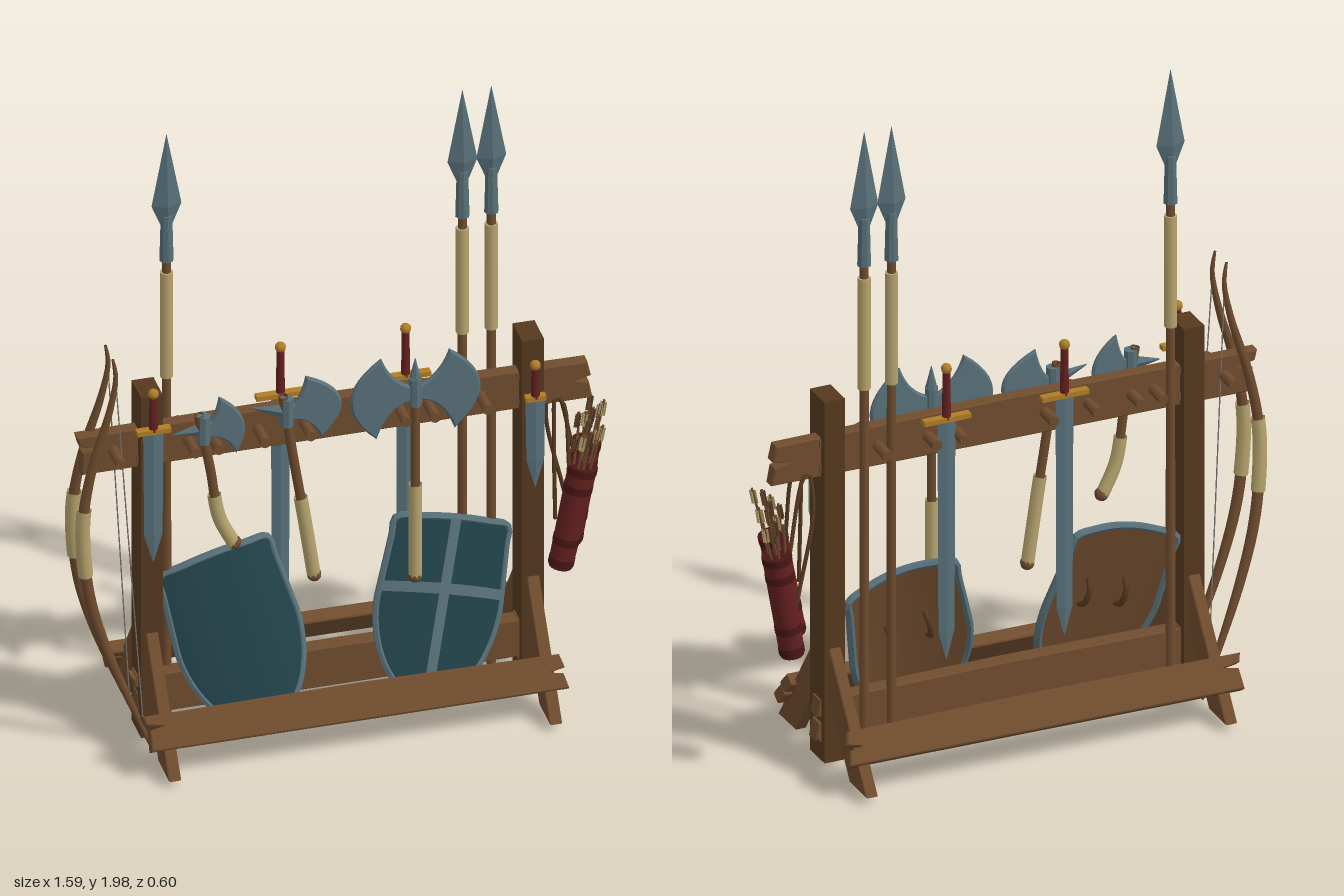
import * as THREE from 'three';

const mat = (color, flatShading = false) =>
  new THREE.MeshStandardMaterial({ color, flatShading, side: THREE.DoubleSide });
const WOOD = mat(0x6f4c2e), DARK = mat(0x56391f), STEEL = mat(0x587079, true), CREAM = mat(0xb8a56e),
  RED = mat(0x64201f), MAROON = mat(0x481615), GOLD = mat(0xb07d26), TEAL = mat(0x22424a), STRING = mat(0x777777);
const V = (x, y, z = 0) => new THREE.Vector3(x, y, z);
const UP = V(0, 1, 0);

function add(parent, name, geometry, material, x = 0, y = 0, z = 0) {
  const m = new THREE.Mesh(geometry, material);
  m.name = name;
  m.position.set(x, y, z);
  parent.add(m);
  return m;
}
function group(parent, name, x = 0, y = 0, z = 0) {
  const g = new THREE.Group();
  g.name = name;
  g.position.set(x, y, z);
  parent.add(g);
  return g;
}
// round rod from a to b
function rod(parent, name, a, b, r0, r1, material, sides = 10) {
  const m = add(parent, name, new THREE.CylinderGeometry(r1, r0, a.distanceTo(b), sides), material);
  m.position.copy(a).add(b).multiplyScalar(0.5);
  m.quaternion.setFromUnitVectors(UP, b.clone().sub(a).normalize());
  return m;
}
// tube along a curve whose radius follows a rule
function bentRod(parent, name, curve, radius, material, seg = 32, from = 0, to = 1) {
  const pts = Array.from({ length: seg + 1 }, (_, i) => curve.getPoint(from + (to - from) * i / seg));
  const path = new THREE.CatmullRomCurve3(pts);
  const g = new THREE.TubeGeometry(path, seg, 1, 8), p = g.attributes.position, v = V(0, 0);
  for (let i = 0; i < p.count; i++) {
    const t = Math.floor(i / 9) / seg, c = path.getPointAt(t);
    v.fromBufferAttribute(p, i).sub(c).multiplyScalar(radius(t)).add(c);
    p.setXYZ(i, v.x, v.y, v.z);
  }
  add(parent, name, g, material);
}
// flat shape given thickness and bevelled edges, centred on z
function slab(shape, depth, bevel) {
  const g = new THREE.ExtrudeGeometry(shape, { depth: depth - 2 * bevel, bevelEnabled: bevel > 0,
    bevelThickness: bevel, bevelSize: bevel, bevelOffset: -bevel, bevelSegments: 1, curveSegments: 12 });
  return g.translate(0, 0, -depth / 2 + bevel);
}
// plank lying along x with split, uneven ends
function plank(parent, name, x0, x1, h, d, y, z) {
  const s = new THREE.Shape([[x0 + 0.012, -0.5], [x1, -0.45], [x1 - 0.01, -0.05], [x1 - 0.05, 0.02], [x1 - 0.004, 0.1],
    [x1 - 0.015, 0.46], [0, 0.5], [x0, 0.44], [x0 + 0.008, 0.2], [x0 + 0.06, 0.13], [x0 + 0.015, 0.05]]
    .map(([x, k]) => new THREE.Vector2(x, k * h)));
  return add(parent, name, slab(s, d, 0.004), WOOD, 0, y, z);
}

function buildRack(root) {
  const rack = group(root, 'rack');
  plank(rack, 'topBeam', -0.78, 0.735, 0.135, 0.04, 0.985, 0);
  plank(rack, 'lowerBeam', -0.62, 0.6, 0.135, 0.05, 0.155, 0);
  for (const s of [1, -1])
    plank(rack, 'footRail', -0.64, 0.6, 0.11, 0.04, 0.15, s * 0.218).rotation.x = -s * 0.61;
  // splayed leg outline in z, y
  const leg = new THREE.Shape([[0.03, 0.41], [0.06, 0.37], [0.3, 0.03], [0.185, 0.03], [0.03, 0.25]]
    .map(p => new THREE.Vector2(...p)));
  for (const x of [-0.57, 0.55]) {
    add(rack, 'post', new THREE.BoxGeometry(0.064, 1.14, 0.1), DARK, x, 0.6, 0.004);
    for (const s of [1, -1])
      add(rack, 'leg', slab(leg, 0.036, 0.003), WOOD, x, 0, 0).rotation.y = s * -Math.PI / 2 ;
    for (const y of [0.21, 0.1, 0.95, 1.03])
      add(rack, 'wedge', new THREE.BoxGeometry(0.074, 0.022, 0.05), WOOD, x, y, 0);
  }
  for (const x of [-0.675, -0.455, -0.385, -0.25, -0.115, 0.165, 0.25, 0.405])
    rod(rack, 'peg', V(x, 0.985, -0.09), V(x, 0.99, 0.105), 0.016, 0.016, WOOD, 8);
}

function buildSpear(root, x) {
  const g = group(root, 'spear', x, 0, -0.027);
  rod(g, 'shaft', V(0, 0.03), V(0, 1.6), 0.014, 0.013, WOOD);
  rod(g, 'spearGrip', V(0, 1.18), V(0, 1.53), 0.019, 0.019, CREAM);
  rod(g, 'socket', V(0, 1.57), V(0, 1.72), 0.021, 0.017, STEEL, 8);
  for (const y of [1.6, 1.64, 1.68]) rod(g, 'rivet', V(0, y, -0.023), V(0, y, 0.023), 0.005, 0.005, STEEL, 6);
  rod(g, 'spearheadBase', V(0, 1.69), V(0, 1.755), 0.018, 0.044, STEEL, 4).scale.z = 0.4;
  rod(g, 'spearheadTip', V(0, 1.755), V(0, 1.99), 0.044, 0.0005, STEEL, 4).scale.z = 0.4;
}

function buildSword(root, x, y, z, blade, grip, half, guard) {
  const g = group(root, 'sword', x, y, z);
  rod(g, 'swordGrip', V(0, 0), V(0, grip), 0.013, 0.011, RED);
  add(g, 'pommel', new THREE.SphereGeometry(0.016, 10, 8), GOLD, 0, grip + 0.008);
  add(g, 'guard', new THREE.BoxGeometry(guard, 0.015, 0.024), GOLD);
  rod(g, 'blade', V(0, -blade + 0.09), V(0, 0), half * 0.9, half, STEEL, 4).scale.z = 0.25;
  rod(g, 'bladeTip', V(0, -blade), V(0, -blade + 0.09), 0.001, half * 0.9, STEEL, 4).scale.z = 0.25;
}

// axe: edge is [top, control, bottom]; back is a spike or, when null, a mirrored blade
function buildAxe(root, x, y, z, edge, spike, handlePts, gripFrom) {
  const g = group(root, 'axe', x, y, z);
  const [a, c, b] = edge;
  const bladeShape = () => {
    const s = new THREE.Shape();
    s.moveTo(-0.01, 0.022);
    s.lineTo(0.02, 0.024);
    s.quadraticCurveTo(a[0] * 0.75, a[1] * 0.4, ...a);
    s.quadraticCurveTo(...c, ...b);
    s.quadraticCurveTo(b[0] * 0.7, b[1] * 0.3, 0.02, -0.03);
    s.lineTo(-0.01, -0.028);
    return s;
  };
  const head = slab(bladeShape(), 0.018, 0.006);
  add(g, 'axeBlade', head, STEEL);
  if (spike) rod(g, 'axeSpike', V(0, 0), V(...spike), 0.025, 0.002, STEEL, 4).scale.z = 0.5;
  else {
    add(g, 'axeBlade', head, STEEL).rotation.y = Math.PI;
    rod(g, 'topSpike', V(0, 0.04), V(0, 0.11), 0.018, 0.001, STEEL, 6);
  }
  rod(g, 'axeSocket', V(0, -0.045), V(0, 0.045), 0.02, 0.02, STEEL, 8);
  const curve = new THREE.CatmullRomCurve3(handlePts.map(p => V(p[0] - x, p[1] - y)));
  bentRod(g, 'axeHandle', curve, () => 0.014, WOOD, 20);
  bentRod(g, 'axeGrip', curve, () => 0.02, CREAM, 14, gripFrom, 0.99);
  const end = curve.getPoint(1);
  add(g, 'handleCap', new THREE.SphereGeometry(0.021, 10, 8), WOOD, end.x, end.y + 0.006);
}

// half width of the shield, t runs from top (0) to bottom (1)
const halfWidth = t => t < 0.45 ? 0.165 + 0.033 * t : 0.18 * Math.sqrt(Math.max(0, 1 - ((t - 0.45) / 0.55) ** 2));
const shieldPoint = (x, t, off) =>
  V(x, -0.54 * t - 0.02 * (x / 0.165) ** 2 * (1 - t), off - 0.9 * x * x);
function shieldPanel(xRule, t0, t1, off) {
  const g = new THREE.PlaneGeometry(2, 1, 12, 20), p = g.attributes.position;
  for (let i = 0; i < p.count; i++) {
    const t = t0 + (t1 - t0) * Math.sin((0.5 - p.getY(i)) * Math.PI / 2);
    const v = shieldPoint(xRule(p.getX(i), t), t, off);
    p.setXYZ(i, v.x, v.y, v.z);
  }
  g.computeVertexNormals();
  return g;
}
function buildShield(root, x, tilt, cross) {
  const g = group(root, 'shield', x, 0.57, -0.012);
  g.rotation.set(-0.25, 0, tilt);
  const full = (s, t) => s * halfWidth(t);
  add(g, 'shieldFace', shieldPanel(full, 0, 1, 0.008), TEAL);
  add(g, 'shieldBack', shieldPanel(full, 0, 1, -0.008), WOOD);
  const rim = [];
  for (let i = 0; i <= 16; i++) rim.push([1, Math.sin(i / 16 * Math.PI / 2)]);
  for (let i = 15; i >= 0; i--) rim.push([-1, Math.sin(i / 16 * Math.PI / 2)]);
  for (const s of [-0.6, -0.2, 0.2, 0.6]) rim.push([s, 0]);
  const path = new THREE.CatmullRomCurve3(rim.map(([s, t]) => shieldPoint(full(s, t), t, 0)), true);
  add(g, 'shieldRim', new THREE.TubeGeometry(path, 100, 0.012, 6, true), STEEL);
  if (cross) {
    add(g, 'crossUpright', shieldPanel(s => s * 0.015, 0, 1, 0.013), STEEL);
    add(g, 'crossBar', shieldPanel(full, 0.355, 0.415, 0.013), STEEL);
  }
  // arm straps
  for (const sx of [-0.06, 0.06]) {
    const strap = new THREE.CatmullRomCurve3([V(sx, -0.18, -0.01), V(sx, -0.2, -0.035), V(sx, -0.25, -0.035), V(sx, -0.27, -0.01)]);
    bentRod(g, 'armStrap', strap, () => 0.009, DARK, 12);
  }
}

function buildBow(root, zTop, zBottom) {
  const g = group(root, 'bow');
  const at = (x, y) => V(x, y, zBottom + (zTop - zBottom) * y / 1.33);
  const curve = new THREE.CatmullRomCurve3([[-0.692, 1.33], [-0.683, 1.27], [-0.7, 1.16], [-0.752, 0.97], [-0.778, 0.8],
    [-0.772, 0.64], [-0.75, 0.5], [-0.7, 0.33], [-0.62, 0.12], [-0.578, 0.01]].map(p => at(...p)));
  bentRod(g, 'bowLimbs', curve, t => 0.004 + 0.013 * Math.sin(Math.PI * t) ** 0.7, WOOD, 48);
  bentRod(g, 'bowGrip', curve, () => 0.022, CREAM, 12, 0.42, 0.575);
  rod(g, 'bowString', at(-0.685, 1.28), at(-0.598, 0.07), 0.002, 0.002, STRING, 5);
}

function buildQuiver(root, bottom, top) {
  const g = group(root, 'quiver', bottom.x, bottom.y, bottom.z);
  g.quaternion.setFromUnitVectors(UP, top.clone().sub(bottom).normalize());
  const h = bottom.distanceTo(top);
  const body = [[0, 0], [0.034, 0], [0.036, 0.01], [0.042, h], [0.036, h], [0.034, h - 0.03], [0, h - 0.03]];
  add(g, 'quiverBody', new THREE.LatheGeometry(body.map(p => new THREE.Vector2(...p)), 16), RED);
  for (const y of [0.02, 0.09, h - 0.07, h - 0.012])
    rod(g, 'quiverBand', V(0, y - 0.012), V(0, y + 0.012), 0.037 + 0.02 * y, 0.037 + 0.02 * y, MAROON, 16);
  for (let i = 0; i < 7; i++) {
    const a = i * 2.4, r = i ? 0.022 : 0, len = h + 0.09 + 0.02 * (i % 4);
    const tip = V(1.6 * r * Math.cos(a), len, 1.6 * r * Math.sin(a));
    rod(g, 'arrow', V(r * Math.cos(a), h - 0.05, r * Math.sin(a)), tip, 0.004, 0.004, WOOD, 5);
    for (const turn of [0, Math.PI / 2])
      add(g, 'fletching', new THREE.PlaneGeometry(0.02, 0.045), i % 2 ? CREAM : DARK, tip.x, len - 0.028, tip.z).rotation.y = turn + a;
  }
  // hanging strap
  const hang = new THREE.CatmullRomCurve3([top.clone().add(V(-0.04, -0.02)), V(0.645, 0.93, bottom.z * 0.5),
    V(0.625, 0.95, bottom.z * 0.4), V(0.615, 0.85, bottom.z * 0.7), bottom.clone().add(V(-0.015, 0.16))]);
  bentRod(root, 'quiverStrap', hang, () => 0.006, DARK, 24);
}

export function createModel() {
  const root = new THREE.Group();
  root.name = 'weaponRack';
  buildRack(root);
  for (const x of [-0.505, 0.365, 0.45]) buildSpear(root, x);

  // two long swords behind, one sword and one dagger on the posts
  for (const x of [-0.163, 0.205]) buildSword(root, x, 1.045, -0.052, 0.76, 0.15, 0.028, 0.145);
  buildSword(root, -0.57, 1.065, 0.068, 0.44, 0.115, 0.03, 0.1);
  buildSword(root, 0.553, 0.985, 0.068, 0.3, 0.1, 0.029, 0.06);

  buildAxe(root, -0.42, 1.04, 0.06, [[0.045, 0.1], [0.165, 0.02], [0.095, -0.095]], [-0.09, -0.005],
    [[-0.435, 1.09], [-0.4, 0.9], [-0.375, 0.74], [-0.33, 0.64]], 0.5);
  buildAxe(root, -0.17, 1.045, 0.042, [[0.055, 0.11], [0.24, 0.03], [0.1, -0.1]], [-0.105, 0.03],
    [[-0.182, 1.1], [-0.15, 0.88], [-0.122, 0.7], [-0.09, 0.48]], 0.57);
  buildAxe(root, 0.205, 1.055, 0.05, [[0.1, 0.125], [0.275, 0], [0.115, -0.14]], null,
    [[0.205, 1.1], [0.205, 0.88], [0.205, 0.65], [0.205, 0.43]], 0.53);

  buildShield(root, -0.37, 0.23, false);
  buildShield(root, 0.34, -0.23, true);
  buildBow(root, 0.078, 0.065);
  buildBow(root, 0, -0.085);
  buildQuiver(root, V(0.628, 0.405, 0.062), V(0.695, 0.73, 0.062));
  buildQuiver(root, V(0.69, 0.405, -0.062), V(0.74, 0.73, -0.062));
  return root;
}
